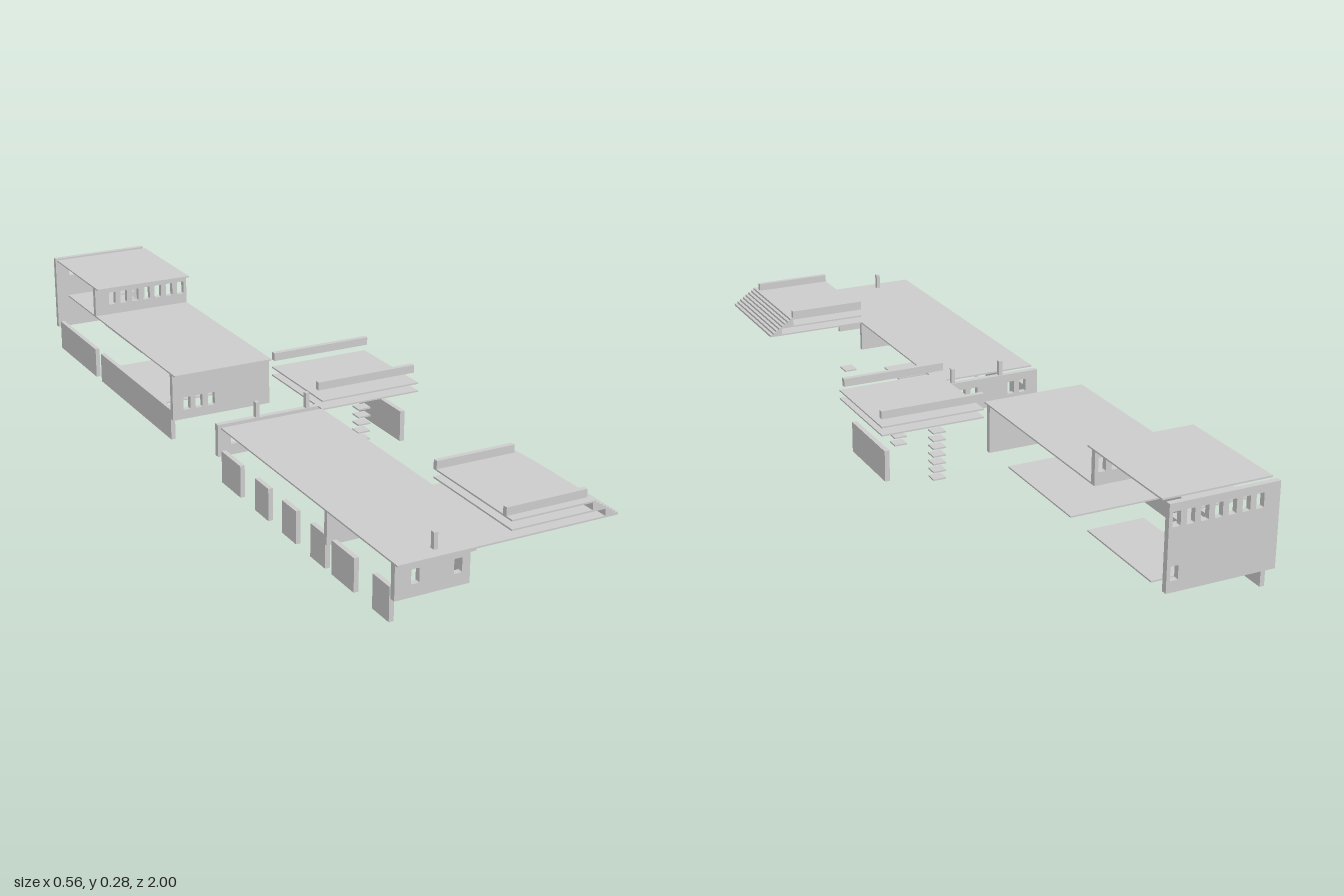
import * as THREE from 'three';

const grey = new THREE.MeshStandardMaterial({ color: 0xcccccc, flatShading: true });

export function createModel() {
  const root = new THREE.Group();
  const T = 0.004; // slab thickness

  // Box given by its limits on each axis
  function block(name, x0, x1, y0, y1, z0, z1, parent = root) {
    const m = new THREE.Mesh(new THREE.BoxGeometry(x1 - x0, y1 - y0, z1 - z0), grey);
    m.position.set((x0 + x1) / 2, (y0 + y1) / 2, (z0 + z1) / 2);
    m.name = name;
    parent.add(m);
    return m;
  }
  // Thin horizontal plate whose top is at y
  const slab = (name, x0, x1, y, z0, z1, parent) => block(name, x0, x1, y - T, y, z0, z1, parent);

  // Extruded profile along z
  function extrude(name, shape, z0, z1, parent) {
    const geo = new THREE.ExtrudeGeometry(shape, { depth: z1 - z0, bevelEnabled: false, curveSegments: 3 });
    const m = new THREE.Mesh(geo, grey);
    m.position.z = z0;
    m.name = name;
    parent.add(m);
  }
  // Wall across x with window holes [centre x, bottom, top]
  function wall(name, x0, x1, y0, y1, z0, z1, windows, parent) {
    const s = new THREE.Shape();
    s.moveTo(x0, y0); s.lineTo(x1, y0); s.lineTo(x1, y1); s.lineTo(x0, y1); s.closePath();
    for (const [cx, b, t] of windows) {
      const a = cx - 0.01, c = cx + 0.01, r = 0.003;
      const h = new THREE.Path();
      h.moveTo(a + r, b);
      h.lineTo(c - r, b); h.quadraticCurveTo(c, b, c, b + r);
      h.lineTo(c, t - r); h.quadraticCurveTo(c, t, c - r, t);
      h.lineTo(a + r, t); h.quadraticCurveTo(a, t, a, t - r);
      h.lineTo(a, b + r); h.quadraticCurveTo(a, b, a + r, b);
      s.holes.push(h);
    }
    extrude(name, s, z0, z1, parent);
  }
  // Stepped flight falling towards +x
  function steps(name, x0, x1, yLow, yHigh, n, z0, z1, parent) {
    const s = new THREE.Shape();
    const dx = (x1 - x0) / n, dy = (yHigh - yLow) / n;
    s.moveTo(x0, yLow);
    s.lineTo(x1, yLow);
    for (let i = 0; i < n; i++) {
      s.lineTo(x1 - i * dx, yLow + (i + 1) * dy);
      s.lineTo(x1 - (i + 1) * dx, yLow + (i + 1) * dy);
    }
    extrude(name, s, z0, z1, parent);
  }
  const group = (name) => {
    const g = new THREE.Group();
    g.name = name;
    root.add(g);
    return g;
  };

  // Front wing
  const front = group('frontWing');
  slab('frontRoof', -0.28, 0, 0.152, 0.155, 1, front);
  wall('frontWall', -0.28, -0.095, 0.065, 0.148, 0.975, 0.99, [[-0.23, 0.095, 0.13], [-0.125, 0.095, 0.13]], front);
  block('entranceFin', -0.105, -0.095, 0.067, 0.148, 0.86, 0.975, front);
  block('recessedWall', -0.095, 0, 0.067, 0.148, 0.86, 0.87, front);
  block('partitionWall', -0.28, 0, 0.067, 0.148, 0.685, 0.697, front);
  wall('rearWall', -0.28, 0, 0.067, 0.152, 0.12, 0.135,
    [-0.235, -0.2, -0.09, -0.055].map((x) => [x, 0.095, 0.13]), front);
  for (const [x, z] of [[-0.17, 0.965], [-0.17, 0.128], [-0.03, 0.128]]) {
    block('chimney', x - 0.005, x + 0.005, 0.148, 0.192, z - 0.006, z + 0.006, front);
  }
  for (const z of [0.3, 0.47]) slab('floorPanel', -0.09, 0, 0.069, z - 0.05, z + 0.05, front);

  // Low wall panels along the right side
  const panels = [[0.9, 0.97], [0.72, 0.82], [0.62, 0.69], [0.48, 0.55], [0.34, 0.41],
    [0.155, 0.26], [-0.645, -0.155], [-0.965, -0.685]];
  for (const [a, b] of panels) block('sidePanel', -0.28, -0.268, 0.007, 0.09, a, b);

  // Porch with tiers and a broad stair along its left side
  const porch = group('porch');
  slab('porchDeck', 0, 0.21, 0.195, 0.685, 1, porch);
  slab('porchMiddleDeck', 0, 0.245, 0.173, 0.685, 1, porch);
  slab('porchLowerDeck', 0, 0.28, 0.152, 0.685, 1, porch);
  steps('upperSteps', 0.21, 0.245, 0.172, 0.195, 4, 0.685, 1, porch);
  steps('lowerSteps', 0.245, 0.28, 0.148, 0.172, 4, 0.685, 1, porch);
  for (const z of [0.685, 0.965]) block('porchParapet', 0, 0.21, 0.195, 0.215, z, z + 0.013, porch);
  slab('doorstep', 0.035, 0.07, 0.026, 0.645, 0.685, porch);

  // Middle pavilion
  const middle = group('middlePavilion');
  slab('pavilionRoof', 0, 0.28, 0.174, -0.122, 0.157, middle);
  slab('pavilionCeiling', 0, 0.28, 0.152, -0.122, 0.157, middle);
  for (const z of [-0.122, 0.122]) block('pavilionParapet', 0, 0.28, 0.194, 0.215, z, z + 0.014, middle);
  block('pavilionPanel', 0.245, 0.258, 0.007, 0.09, -0.085, 0.13, middle);
  for (const z of [-0.12, 0.125]) {
    for (let i = 0; i < 7; i++) slab('tread', 0.105, 0.14, T + i * 0.0212, z, z + 0.032, middle);
  }

  // Rear wing
  const rear = group('rearWing');
  slab('rearRoof', -0.28, 0, 0.194, -0.685, -0.125, rear);
  slab('upperFloor', -0.28, -0.14, 0.194, -0.89, -0.685, rear);
  wall('rearWingFrontWall', -0.28, 0, 0.065, 0.19, -0.155, -0.14,
    [-0.24, -0.205, -0.17].map((x) => [x, 0.09, 0.125]), rear);
  slab('lowerFloor', -0.28, 0, 0.07, -0.58, -0.26, rear);
  slab('rearLowerFloor', -0.15, 0, 0.07, -0.94, -0.66, rear);
  for (let i = 0; i < 5; i++) slab('rearTread', -0.13, -0.07, 0.112 + i * 0.0205, -0.965, -0.89, rear);

  // Upper storey with a row of windows front and back
  const row = [];
  for (let i = 0; i < 7; i++) row.push([-0.229 + i * 0.035, 0.222, 0.258]);
  slab('upperRoof', -0.28, 0, 0.278, -0.97, -0.65, rear);
  wall('upperFrontWall', -0.28, 0, 0.194, 0.274, -0.685, -0.67, row, rear);
  wall('backWall', -0.28, 0, 0.067, 0.278, -1, -0.985, [...row, [-0.019, 0.095, 0.13]], rear);

  return root;
}
